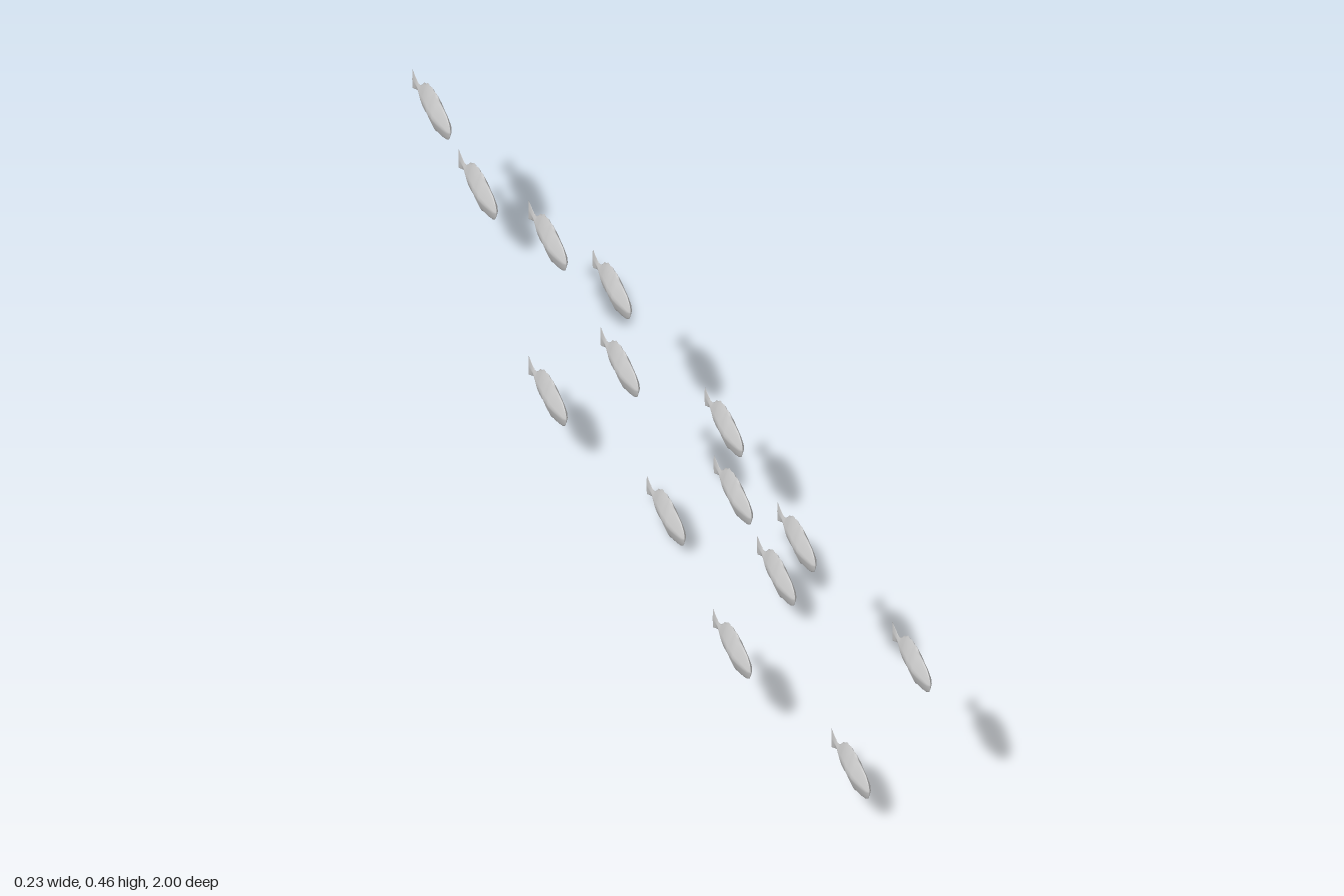
import * as THREE from 'three';

// Fish cross-sections, nose to tail: distance from nose, top, bottom, half width
const SECTIONS = [
  [0, 0, 0, 0],
  [0.001, 0.007, -0.008, 0.002],
  [0.006, 0.015, -0.017, 0.005],
  [0.018, 0.025, -0.025, 0.009],
  [0.038, 0.031, -0.032, 0.0125],
  [0.055, 0.034, -0.036, 0.0142],
  [0.061, 0.039, -0.037, 0.0145], // dorsal fin starts
  [0.07, 0.041, -0.041, 0.0146], // belly fin
  [0.079, 0.038, -0.038, 0.0145],
  [0.088, 0.041, -0.034, 0.014],
  [0.097, 0.037, -0.033, 0.013],
  [0.106, 0.038, -0.031, 0.012],
  [0.115, 0.031, -0.032, 0.0105], // anal fin
  [0.124, 0.027, -0.031, 0.009],
  [0.133, 0.017, -0.021, 0.007],
  [0.143, 0.009, -0.011, 0.005],
  [0.153, 0.007, -0.009, 0.003], // tail root
  [0.166, 0.012, -0.015, 0.0018],
  [0.18, 0.018, -0.022, 0.0008],
  [0.175, -0.002, -0.002, 0], // tail notch
];
const SIDES = 16;
const LENGTH = 0.18;

// Loft through rounded-diamond rings
function fishGeometry() {
  const positions = [];
  const indices = [];
  SECTIONS.forEach(([t, top, bottom, w], i) => {
    for (let j = 0; j < SIDES; j++) {
      const a = (j / SIDES) * Math.PI * 2;
      const s = Math.sin(a), c = Math.cos(a);
      const x = w * Math.sign(s) * Math.abs(s) ** 1.7;
      const mid = (top + bottom) / 2;
      const y = mid + ((top - bottom) / 2) * Math.sign(c) * Math.abs(c) ** 1.7;
      positions.push(x, y, LENGTH / 2 - t);
      if (i < SECTIONS.length - 1) {
        const k = (j + 1) % SIDES;
        const p = i * SIDES + j, q = i * SIDES + k;
        indices.push(p, q, p + SIDES, q, q + SIDES, p + SIDES);
      }
    }
  });
  const geometry = new THREE.BufferGeometry();
  geometry.setAttribute('position', new THREE.Float32BufferAttribute(positions, 3));
  geometry.setIndex(indices);
  geometry.computeVertexNormals();
  return geometry;
}

// Fish centres, by column of the school: [y, z]
const COLUMNS = [
  { name: 'right', x: -0.103, fish: [[0.169, 0.57], [0.419, 0.034], [0.128, -0.31], [0.376, -0.864]] },
  {
    name: 'middle', x: 0.002,
    fish: [[0.083, 0.87], [0.399, 0.612], [0.299, 0.308], [0.041, -0.012],
      [0.357, -0.27], [0.258, -0.576], [0.146, -0.91]],
  },
  { name: 'left', x: 0.101, fish: [[0.313, 0.91], [0.069, 0.264], [0.223, 0.014]] },
];

export function createModel() {
  const school = new THREE.Group();
  school.name = 'schoolOfFish';
  const geometry = fishGeometry();
  const material = new THREE.MeshStandardMaterial({ color: 0xcccccc, side: THREE.DoubleSide });

  for (const { name, x, fish } of COLUMNS) {
    const column = new THREE.Group();
    column.name = `${name}Column`;
    fish.forEach(([y, z], i) => {
      const mesh = new THREE.Mesh(geometry, material);
      mesh.name = `${name}Fish${i + 1}`;
      mesh.position.set(x, y, z);
      column.add(mesh);
    });
    school.add(column);
  }
  return school;
}
